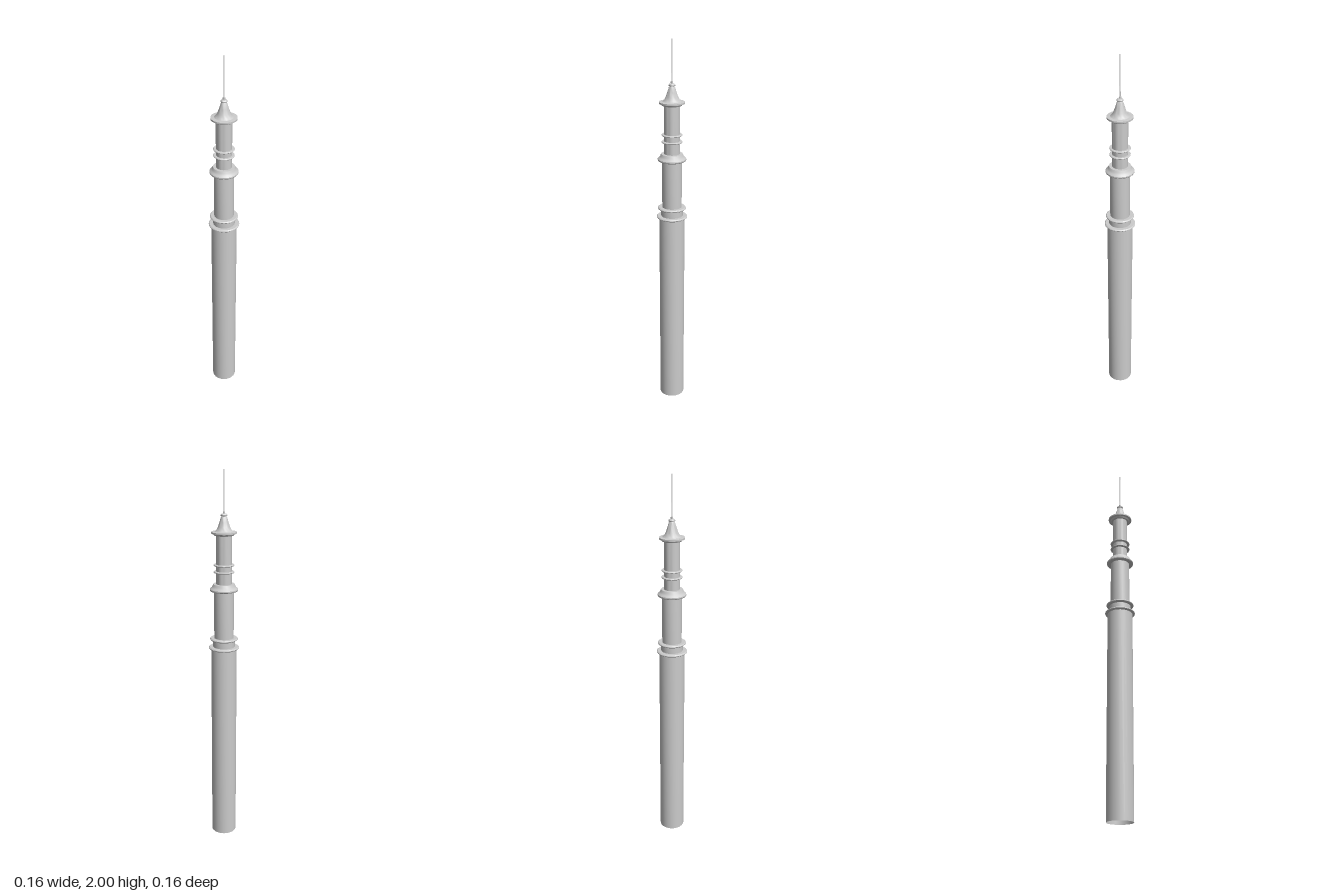
import * as THREE from 'three';
import { toCreasedNormals } from 'three/addons/utils/BufferGeometryUtils.js';

const SIDES = 24;
const material = new THREE.MeshStandardMaterial({ color: 0xcccccc, side: THREE.DoubleSide });

// Turned part: [radius, height] pairs from bottom to top
function turned(name, profile) {
  const points = profile.map(([r, y]) => new THREE.Vector2(r, y));
  const mesh = new THREE.Mesh(toCreasedNormals(new THREE.LatheGeometry(points, SIDES), 0.6), material);
  mesh.name = name;
  return mesh;
}

// Thin moulding with a bevelled lip around a core of the given inner radius
function ring(name, inner, outer, y, height) {
  const lip = outer - height * 0.4;
  return turned(name, [
    [inner, y], [lip, y], [outer, y + height * 0.35],
    [outer, y + height * 0.65], [lip, y + height], [inner, y + height],
  ]);
}

export function createModel() {
  const tower = new THREE.Group();
  tower.name = 'tower';

  // Main shaft, open at the foot
  tower.add(turned('lowerShaft', [[0.067, 0], [0.067, 1.09]]));

  // Lower balcony: two rings with a neck between
  tower.add(ring('lowerBalconyFloor', 0.05, 0.08, 1.088, 0.012));
  tower.add(turned('lowerBalconyNeck', [[0.057, 1.098], [0.057, 1.138]]));
  tower.add(ring('lowerBalconyRail', 0.045, 0.073, 1.136, 0.012));

  // Middle shaft and its sloped balcony
  tower.add(turned('middleShaft', [[0.051, 1.14], [0.051, 1.402]]));
  tower.add(turned('upperBalcony', [
    [0.045, 1.398], [0.07, 1.398], [0.073, 1.402], [0.073, 1.408], [0.069, 1.412],
    [0.064, 1.415], [0.059, 1.425], [0.055, 1.434], [0.038, 1.434],
  ]));

  // Upper shaft with two bands
  tower.add(turned('upperShaft', [[0.04, 1.43], [0.04, 1.69]]));
  [1.492, 1.527].forEach((y, i) => tower.add(ring('band' + (i + 1), 0.035, 0.053, y, 0.008)));

  // Cornice under the roof
  tower.add(turned('cornice', [
    [0.036, 1.68], [0.05, 1.68], [0.055, 1.688], [0.065, 1.69],
    [0.065, 1.698], [0.05, 1.7], [0.03, 1.7],
  ]));

  // Flared roof, cap and needle
  tower.add(turned('roof', [
    [0.05, 1.698], [0.039, 1.706], [0.031, 1.722], [0.023, 1.745], [0.016, 1.768], [0.011, 1.777],
  ]));
  tower.add(turned('roofCap', [
    [0.008, 1.774], [0.016, 1.776], [0.017, 1.781], [0.013, 1.786], [0.006, 1.788], [0.006, 1.797], [0, 1.799],
  ]));
  tower.add(turned('needle', [[0.0035, 1.79], [0.0025, 1.999], [0, 2]]));

  return tower;
}
